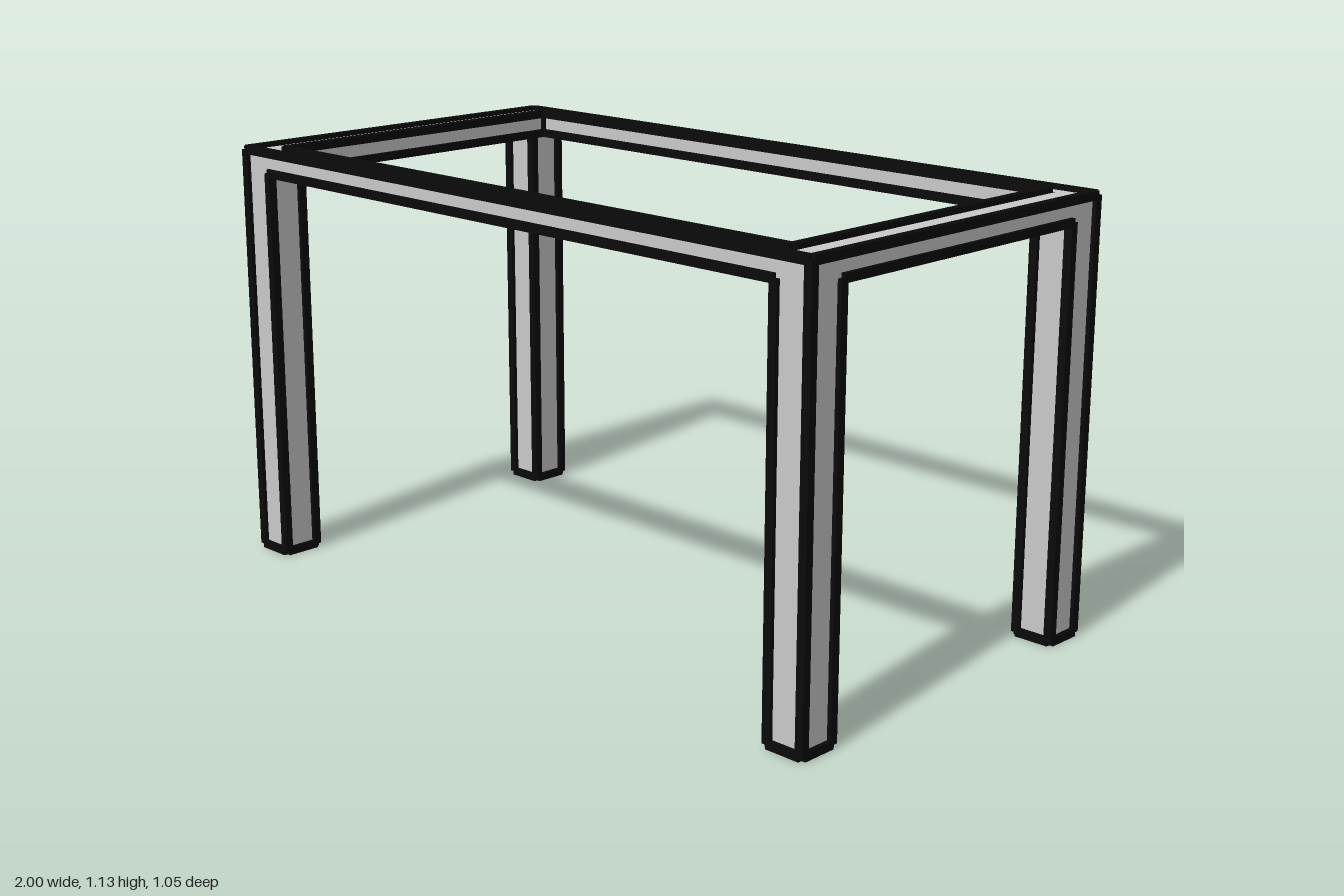
import * as THREE from 'three';

export function createModel() {
  const group = new THREE.Group();
  group.name = 'tableFrame';
  const grey = new THREE.MeshStandardMaterial({ color: 0xcccccc, flatShading: true });
  const black = new THREE.MeshStandardMaterial({ color: 0x0a0a0a, flatShading: true });

  const T = 0.022;                        // thickness of the dark edge strips
  const X = 0.989, Z = 0.516;             // outer faces
  const legX = 0.892, legZ = 0.42;        // inner faces of the legs
  const railZ = 0.465;                    // inner faces of the long rails
  const Y0 = T / 2, Y1 = 1.068, Y2 = 1.121; // foot, underside of rails, top

  // Box between two corners, thickened by t along the axes where they coincide
  const span = (name, material, a, b, t = 0) => {
    const size = a.map((v, i) => Math.abs(b[i] - v) || t);
    const mesh = new THREE.Mesh(new THREE.BoxGeometry(...size), material);
    mesh.name = name;
    mesh.position.set(...a.map((v, i) => (v + b[i]) / 2));
    group.add(mesh);
  };
  const edge = (a, b) => span('edgeStrip', black, a, b, T);

  for (const s of [1, -1]) {
    const side = s > 0 ? 'Left' : 'Right';
    const end = s > 0 ? 'front' : 'back';

    // Wide end rail and narrow long rail
    span(`end${side}Rail`, grey, [s * legX, Y1, -Z], [s * X, Y2, Z]);
    span(`${end}Rail`, grey, [-legX, Y1, s * railZ], [legX, Y2, s * Z]);

    // Strips around the top, outside and around the opening
    edge([s * X, Y2, -Z], [s * X, Y2, Z]);
    edge([-X, Y2, s * Z], [X, Y2, s * Z]);
    edge([s * legX, Y2 + 0.003, -railZ], [s * legX, Y2 + 0.003, railZ]);
    edge([-legX, Y2 + 0.003, s * railZ], [legX, Y2 + 0.003, s * railZ]);

    // Strips along the underside of the rails
    edge([s * X, Y1, -legZ], [s * X, Y1, legZ]);
    edge([s * legX, Y1, -railZ], [s * legX, Y1, railZ]);
    for (const z of [railZ, Z]) edge([-legX, Y1, s * z], [legX, Y1, s * z]);

    for (const e of [1, -1]) {
      // Leg
      span(`${e > 0 ? 'front' : 'back'}${side}Leg`, grey,
        [s * legX, Y0, e * legZ], [s * X, Y1, e * Z]);

      // Upright strips on the leg corners and in the corner of the opening
      edge([s * X, Y0, e * Z], [s * X, Y2, e * Z]);
      for (const [x, z] of [[X, legZ], [legX, Z], [legX, legZ]]) {
        edge([s * x, Y0, e * z], [s * x, Y1, e * z]);
      }
      edge([s * legX, Y1, e * railZ], [s * legX, Y2, e * railZ]);

      // Strips around the foot
      for (const x of [legX, X]) edge([s * x, Y0, e * legZ], [s * x, Y0, e * Z]);
      for (const z of [legZ, Z]) edge([s * legX, Y0, e * z], [s * X, Y0, e * z]);

      // Strips where the leg meets the rails
      edge([s * legX, Y1, e * legZ], [s * X, Y1, e * legZ]);
      edge([s * legX, Y1, e * railZ], [s * legX, Y1, e * Z]);
    }
  }
  return group;
}
